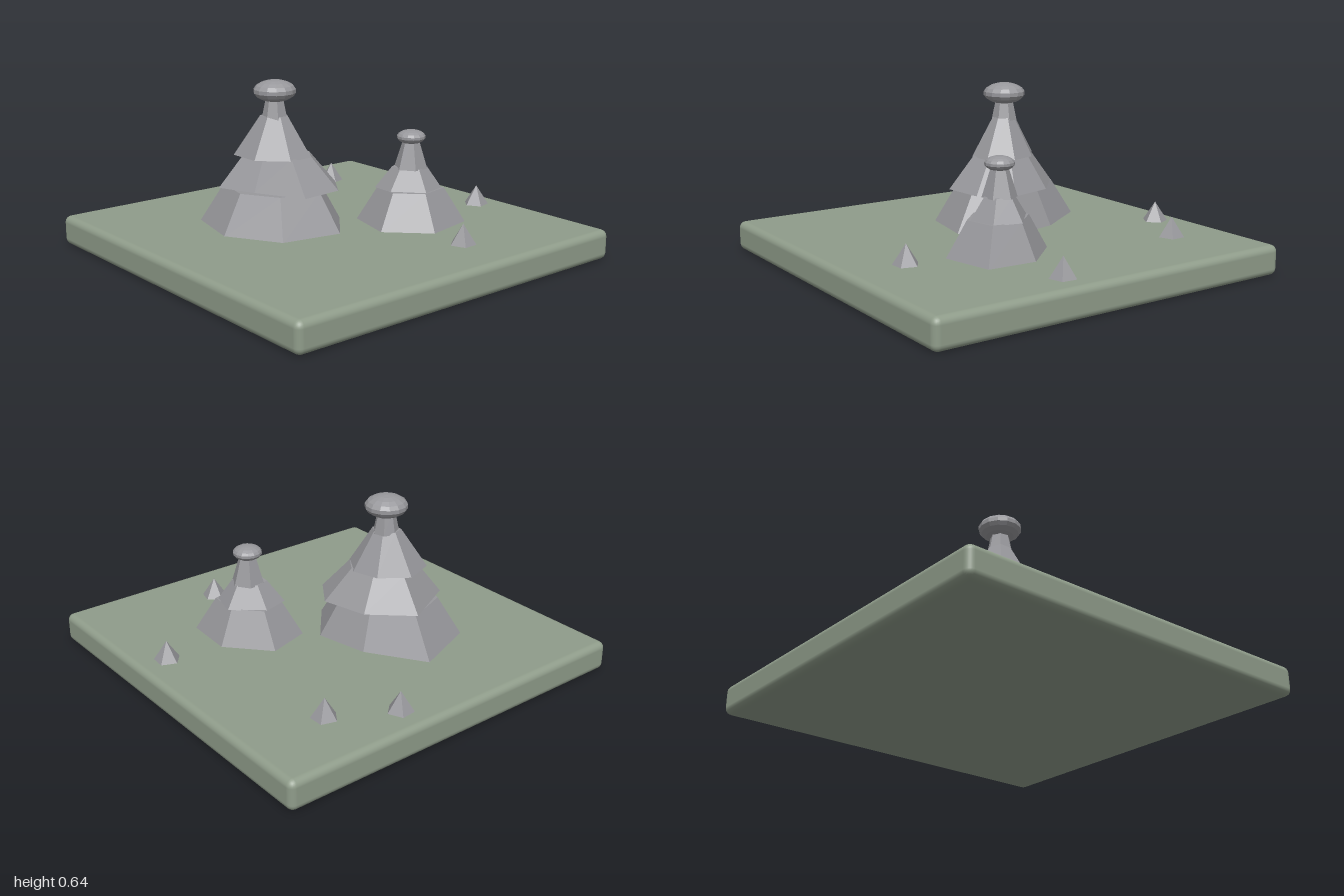
import * as THREE from 'three';
import { RoundedBoxGeometry } from 'three/addons/geometries/RoundedBoxGeometry.js';

const moss = new THREE.MeshStandardMaterial({ color: 0x8f9c8a });
moss.name = 'mossGreen';
const stone = new THREE.MeshStandardMaterial({ color: 0x98989c, flatShading: true });
stone.name = 'stoneGrey';

// Closed frustum over an irregular ring of [x, z] points, narrowed by a factor at the top
function tierGeometry(ring, y0, y1, narrow) {
  const pos = [];
  const n = ring.length;
  const low = ring.map(([x, z]) => [x, y0, z]);
  const high = ring.map(([x, z]) => [x * narrow, y1, z * narrow]);
  for (let i = 0; i < n; i++) {
    const j = (i + 1) % n;
    pos.push(...low[i], ...high[i], ...low[j], ...low[j], ...high[i], ...high[j]);
    pos.push(0, y0, 0, ...low[i], ...low[j], 0, y1, 0, ...high[j], ...high[i]);
  }
  const geo = new THREE.BufferGeometry();
  geo.setAttribute('position', new THREE.Float32BufferAttribute(pos, 3));
  geo.computeVertexNormals();
  return geo;
}

// Stacked tiers with a flattened ball on top
function createTree(name, x, z, tiers, ball) {
  const tree = new THREE.Group();
  tree.name = name;
  tree.position.set(x, 0, z);
  tiers.forEach(([ring, y0, y1, narrow], i) => {
    const tier = new THREE.Mesh(tierGeometry(ring, y0, y1, narrow), stone);
    tier.name = `tier${i + 1}`;
    tree.add(tier);
  });
  const cap = new THREE.Mesh(new THREE.SphereGeometry(1, 14, 9), stone);
  cap.name = 'topBall';
  cap.scale.set(ball.r, ball.h, ball.r);
  cap.position.y = ball.y;
  tree.add(cap);
  return tree;
}

// Regular ring, clockwise seen from above
function regularRing(n, r, turn = 0) {
  return Array.from({ length: n }, (_, i) => {
    const a = turn + (i / n) * Math.PI * 2;
    return [r * Math.cos(a), r * Math.sin(a)];
  });
}

export function createModel() {
  const model = new THREE.Group();
  model.name = 'forestTile';

  // Square slab standing on its corner in plan
  const base = new THREE.Mesh(new RoundedBoxGeometry(1.429, 0.11, 1.429, 3, 0.025), moss);
  base.name = 'base';
  base.rotation.y = Math.PI / 4;
  base.position.y = 0.055;
  model.add(base);

  // Large seven-sided tree
  model.add(createTree('largeTree', -0.2, 0.01, [
    [[[-0.18, -0.24], [0.06, -0.19], [0.23, -0.08], [0.25, 0.13], [0.06, 0.26], [-0.16, 0.2], [-0.285, 0]],
      0.105, 0.25, 0.68],
    [[[-0.13, -0.16], [0.06, -0.17], [0.21, -0.08], [0.235, 0.06], [0.13, 0.185], [-0.06, 0.12], [-0.2, 0.06]],
      0.25, 0.37, 0.56],
    [[[-0.1, -0.09], [0.02, -0.11], [0.11, -0.06], [0.135, 0.04], [0.07, 0.11], [-0.06, 0.11], [-0.15, 0.02]],
      0.365, 0.51, 0.36],
    [regularRing(7, 0.048, 0.3), 0.5, 0.58, 0.65],
  ], { r: 0.078, h: 0.04, y: 0.6 }));

  // Small six-sided tree
  model.add(createTree('smallTree', 0.29, -0.06, [
    [[[-0.12, -0.15], [0.08, -0.14], [0.205, 0], [0.095, 0.17], [-0.1, 0.17], [-0.2, 0]],
      0.105, 0.237, 0.6],
    [[[-0.08, -0.08], [0.06, -0.09], [0.115, 0], [0.06, 0.09], [-0.07, 0.08], [-0.13, 0.01]],
      0.235, 0.315, 0.52],
    [regularRing(6, 0.062, 0.2), 0.31, 0.42, 0.45],
  ], { r: 0.053, h: 0.026, y: 0.426 }));

  // Little five-sided pointed stones
  [[-0.295, -0.56, 0.9], [-0.055, -0.63, 0.5], [0.54, -0.31, 0.4], [0.48, 0.22, 0.2]]
    .forEach(([x, z, turn], i) => {
      const shard = new THREE.Mesh(new THREE.ConeGeometry(0.049, 0.075, 5), stone);
      shard.name = `smallStone${i + 1}`;
      shard.position.set(x, 0.1455, z);
      shard.rotation.y = turn;
      model.add(shard);
    });

  return model;
}
